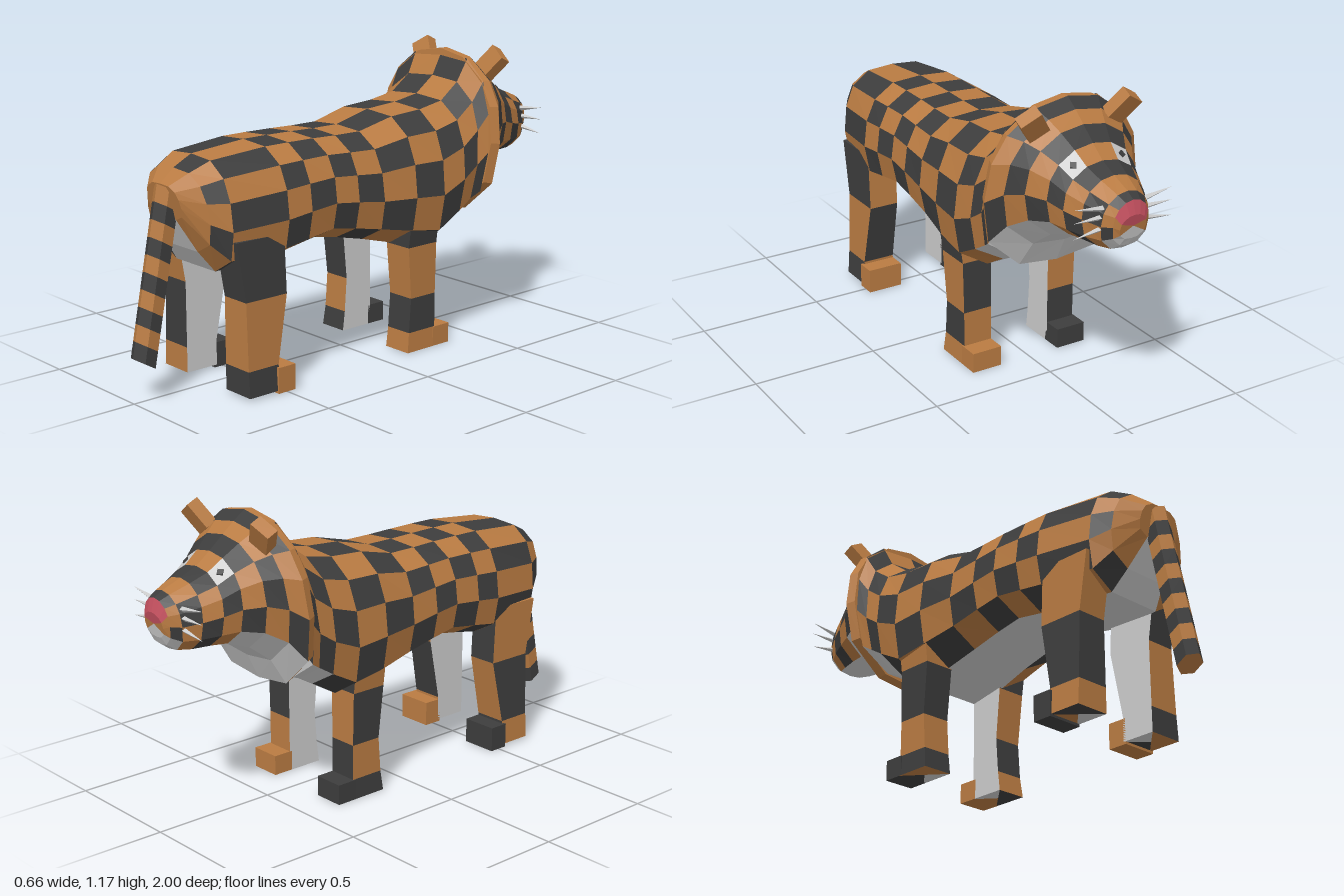
import * as THREE from 'three';

const ORANGE = 0xb97b42, BLACK = 0x3d3d3d, GREY = 0xcccccc, PINK = 0xc4505f;

function material(color) {
  return new THREE.MeshStandardMaterial({ color, flatShading: true, side: THREE.DoubleSide });
}

// Skins closed rings of points; colorOf(ring, band) sorts the faces into one mesh per colour.
function loft(name, rings, colorOf) {
  const buckets = new Map();
  const add = (color, ...pts) => {
    if (!buckets.has(color)) buckets.set(color, []);
    pts.forEach((p) => buckets.get(color).push(p.x, p.y, p.z));
  };
  const n = rings[0].length, last = rings.length - 1;
  const centre = (ring) => ring.reduce((s, p) => s.add(p), new THREE.Vector3()).divideScalar(n);
  const first = centre(rings[0]), end = centre(rings[last]);
  for (let j = 0; j < n; j++) {
    const k = (j + 1) % n;
    for (let i = 0; i < last; i++) {
      const a = rings[i][j], b = rings[i][k], c = rings[i + 1][k], d = rings[i + 1][j];
      add(colorOf(i, j), a, b, c, a, c, d);
    }
    add(colorOf(0, j), first, rings[0][k], rings[0][j]);
    add(colorOf(last, j), end, rings[last][j], rings[last][k]);
  }
  const group = new THREE.Group();
  group.name = name;
  for (const [color, pts] of buckets) {
    const geo = new THREE.BufferGeometry();
    geo.setAttribute('position', new THREE.Float32BufferAttribute(pts, 3));
    geo.computeVertexNormals();
    const mesh = new THREE.Mesh(geo, material(color));
    mesh.name = name + 'Faces';
    group.add(mesh);
  }
  return group;
}

// Mirrored cross-section from half-profile fractions (x of half width, y of height)
function section(profile, [zTop, zBottom, top, bottom, w]) {
  const at = ([fx, fy], s) => new THREE.Vector3(
    s * fx * w, bottom + fy * (top - bottom), zBottom + fy * (zTop - zBottom));
  const right = profile.map((p) => at(p, 1));
  const left = profile.slice(1, -1).reverse().map((p) => at(p, -1));
  return [...right, ...left];
}

const checker = (i, j) => ((i + j) % 2 ? BLACK : ORANGE);
const mirrorBand = (j) => (j < 7 ? j : 13 - j);

function box(name, color, size, pos) {
  const mesh = new THREE.Mesh(new THREE.BoxGeometry(...size), material(color));
  mesh.name = name;
  mesh.position.set(...pos);
  return mesh;
}

// Leg rings: [y, inner x, outer x, front z, back z]; the foot juts toward -z
function leg(name, side, rows, foot, parity) {
  const rings = rows.map(([y, xi, xo, zf, zb]) => {
    const x0 = side > 0 ? xi : -xo, x1 = side > 0 ? xo : -xi;
    return [[x0, zf], [x1, zf], [x1, zb], [x0, zb]].map(([x, z]) => new THREE.Vector3(x, y, z));
  });
  const inner = side > 0 ? 3 : 1;
  const flip = side > 0 ? 0 : 1;
  const group = loft(name, rings, (i, j) => {
    if (j === inner) return GREY;
    return checker(i + parity + flip, j === 0 ? 1 : 0);
  });
  const [h, z0, z1, xi, xo] = foot;
  group.add(box(name + 'Foot', side > 0 ? ORANGE : BLACK, [xo - xi, h, z0 - z1],
    [side * (xi + xo) / 2, h / 2, (z0 + z1) / 2]));
  return group;
}

export function createModel() {
  const model = new THREE.Group();
  model.name = 'stripedCat';

  // Body, rump to neck: [z at top, z at bottom, top y, bottom y, half width]
  const bodyProfile = [[0, 1], [0.48, 0.98], [0.8, 0.85], [0.95, 0.65], [1, 0.4], [0.92, 0.14], [0.5, 0], [0, 0]];
  const bodyRows = [
    [0.86, 0.83, 0.80, 0.67, 0.10], [0.80, 0.77, 0.85, 0.55, 0.19], [0.72, 0.71, 0.89, 0.47, 0.235],
    [0.48, 0.48, 0.91, 0.48, 0.265], [0.37, 0.37, 0.91, 0.50, 0.265], [0.25, 0.25, 0.908, 0.52, 0.265],
    [0.14, 0.14, 0.905, 0.50, 0.268], [0.02, 0.01, 0.905, 0.47, 0.272], [-0.14, -0.14, 0.945, 0.43, 0.29],
    [-0.29, -0.28, 0.955, 0.405, 0.295], [-0.41, -0.39, 0.975, 0.47, 0.293],
    [-0.50, -0.45, 1.04, 0.505, 0.29], [-0.55, -0.49, 1.13, 0.52, 0.305]];
  model.add(loft('body', bodyRows.map((r) => section(bodyProfile, r)), (i, j) => {
    const m = mirrorBand(j);
    if (m === 6 || (m === 5 && i >= 10)) return GREY;
    if (i === 0) return ORANGE;
    return checker(i, j);
  }));

  // Head, collar to muzzle
  const headProfile = [[0, 1], [0.4, 0.965], [0.75, 0.84], [0.93, 0.69], [1, 0.47], [0.92, 0.22], [0.5, 0.03], [0, 0]];
  const headRows = [
    [-0.545, -0.495, 1.145, 0.50, 0.315], [-0.58, -0.53, 1.145, 0.49, 0.33], [-0.63, -0.58, 1.11, 0.59, 0.28],
    [-0.68, -0.66, 1.07, 0.655, 0.235], [-0.74, -0.74, 1.02, 0.685, 0.19], [-0.80, -0.81, 0.975, 0.69, 0.165],
    [-0.87, -0.88, 0.945, 0.69, 0.135], [-0.95, -0.93, 0.915, 0.695, 0.10],
    [-0.985, -0.965, 0.895, 0.72, 0.075], [-1.0, -0.98, 0.845, 0.75, 0.055]];
  const headRings = headRows.map((r) => section(headProfile, r));
  model.add(loft('head', headRings, (i, j) => {
    const m = mirrorBand(j);
    if (i === 0) return ORANGE;
    if (m === 6 || (m === 5 && (i < 4 || i > 6))) return GREY;
    if (i >= 8) return m < 3 ? PINK : ORANGE;
    if (i === 4 && m === 1) return GREY;
    return checker(i, j >> 1);
  }));

  for (const s of [1, -1]) {
    const side = s > 0 ? 'left' : 'right';

    // Pupil centred on the pale eye face
    const corners = [headRings[4], headRings[5]].flatMap((r) => (s > 0 ? [r[1], r[2]] : [r[13], r[12]]));
    const mid = corners.reduce((v, p) => v.add(p), new THREE.Vector3()).multiplyScalar(0.25);
    const normal = corners[1].clone().sub(corners[2]).cross(corners[3].clone().sub(corners[0]));
    normal.multiplyScalar(Math.sign(normal.y)).normalize();
    const pupil = box(side + 'Pupil', BLACK, [0.022, 0.022, 0.012], mid.toArray());
    pupil.lookAt(mid.clone().add(normal));
    model.add(pupil);

    // Ear
    const ear = box(side + 'Ear', ORANGE, [0.085, 0.11, 0.05], [s * 0.19, 1.095, -0.645]);
    ear.rotation.set(-0.45, 0, -s * 0.6);
    model.add(ear);

    // Whiskers
    [0.87, 0.83, 0.78].forEach((y, k) => {
      const whisker = new THREE.Mesh(new THREE.ConeGeometry(0.012, 0.13, 4), material(GREY));
      whisker.name = side + 'Whisker';
      whisker.position.set(s * 0.145, y, -0.93);
      whisker.rotation.z = -s * (Math.PI / 2 + (k - 1) * 0.15);
      model.add(whisker);
    });

    // Legs
    model.add(leg(side + 'RearLeg', s, [
      [0.60, 0.12, 0.245, 0.49, 0.71], [0.37, 0.12, 0.245, 0.48, 0.67],
      [0.11, 0.12, 0.255, 0.53, 0.67], [0.01, 0.12, 0.262, 0.53, 0.67]],
    [0.10, 0.54, 0.46, 0.12, 0.268], 1));
    model.add(leg(side + 'FrontLeg', s, [
      [0.62, 0.13, 0.28, -0.28, -0.13], [0.43, 0.13, 0.255, -0.28, -0.13], [0.22, 0.13, 0.25, -0.28, -0.15],
      [0.08, 0.13, 0.25, -0.28, -0.14], [0, 0.13, 0.255, -0.28, -0.13]],
    [0.08, -0.27, -0.355, 0.13, 0.255], 1));
  }

  // Tail: six-sided, hanging behind the rump in bands
  const tailRings = [];
  for (let k = 0; k <= 10; k++) {
    const t = k / 10, y = 0.775 - 0.63 * t, z = 0.83 + 0.125 * t;
    tailRings.push([[0, -0.042], [0.046, -0.022], [0.046, 0.022], [0, 0.044], [-0.046, 0.022], [-0.046, -0.022]]
      .map(([x, d]) => new THREE.Vector3(x, y + d * 0.6, z + d)));
  }
  model.add(loft('tail', tailRings, (i) => (i % 2 ? BLACK : ORANGE)));

  return model;
}
